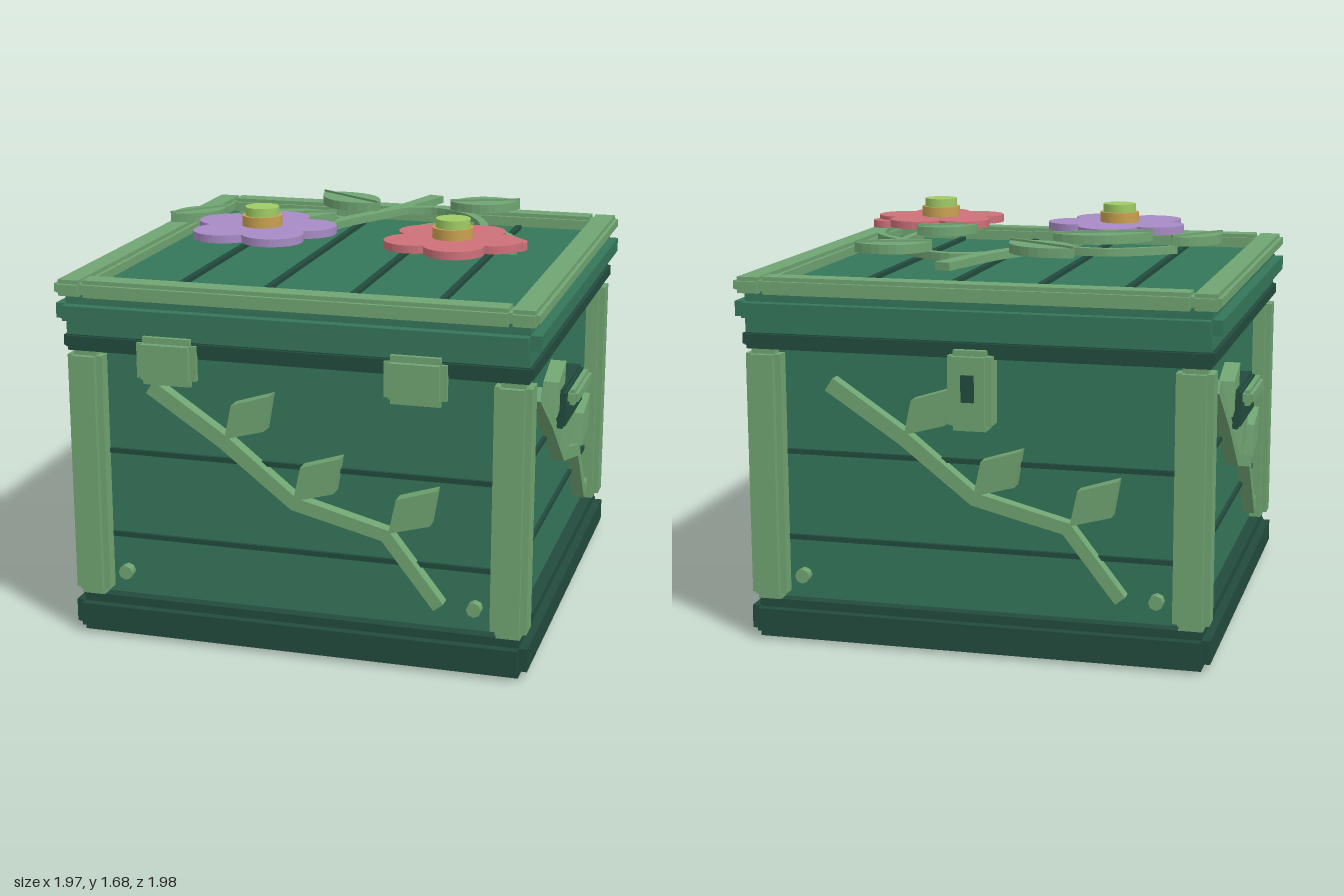
import * as THREE from 'three';
import { mergeGeometries } from 'three/addons/utils/BufferGeometryUtils.js';

const mat = (name, color) => Object.assign(new THREE.MeshStandardMaterial({ color }), { name });

export function createModel() {
  const green = mat('panel green', 0x35765a);
  const dark = mat('dark green', 0x224b3d);
  const leaf = mat('leaf green', 0x70a472);
  const purple = mat('purple petal', 0xa68bc4);
  const red = mat('red petal', 0xcc7079);
  const amber = mat('amber', 0xc9a050);
  const lime = mat('lime', 0x9fcb64);

  const root = new THREE.Group();
  root.name = 'flowerChest';
  const chest = new THREE.Group();
  chest.name = 'chest';
  chest.position.z = 0.013;
  root.add(chest);

  const add = (parent, name, geo, material, x = 0, y = 0, z = 0) => {
    const m = new THREE.Mesh(geo, material);
    m.name = name;
    m.position.set(x, y, z);
    parent.add(m);
    return m;
  };
  // block whose edges are cut back by a square step
  const stepped = (w, h, d, b) => mergeGeometries([
    new THREE.BoxGeometry(w, h - 2 * b, d - 2 * b),
    new THREE.BoxGeometry(w - 2 * b, h, d - 2 * b),
    new THREE.BoxGeometry(w - 2 * b, h - 2 * b, d)]);
  // square band: a tall core and a wider middle with notched corners
  const band = (core, y0, y1, outer, y2, y3) => {
    const box = (w, a, b, d) => new THREE.BoxGeometry(w, b - a, d).translate(0, (a + b) / 2, 0);
    return mergeGeometries([box(core * 2, y0, y1, core * 2),
      box(outer * 2, y2, y3, core * 2), box(core * 2, y2, y3, outer * 2)]);
  };
  const extrude = (shape, depth) =>
    new THREE.ExtrudeGeometry(shape, { depth, bevelEnabled: false, curveSegments: 10 });
  // strip of tapering width along a path
  const ribbon = (pts, w0, w1, depth, smooth) => {
    let p = pts.map(([x, y]) => new THREE.Vector2(x, y));
    if (smooth) p = new THREE.SplineCurve(p).getPoints(20);
    const a = [], b = [];
    p.forEach((q, i) => {
      const t = p[Math.min(i + 1, p.length - 1)].clone().sub(p[Math.max(i - 1, 0)]).normalize();
      const w = THREE.MathUtils.lerp(w0, w1, i / (p.length - 1)) / 2;
      a.push(new THREE.Vector2(q.x - t.y * w, q.y + t.x * w));
      b.unshift(new THREE.Vector2(q.x + t.y * w, q.y - t.x * w));
    });
    return extrude(new THREE.Shape([...a, ...b].reverse()), depth);
  };

  // body, base and lid bands
  add(chest, 'body', new THREE.BoxGeometry(1.71, 1.25, 1.71), green, 0, 0.625);
  add(chest, 'base', band(0.905, 0.004, 0.165, 0.94, 0.035, 0.13), dark);
  add(chest, 'lidSeal', band(0.925, 1.197, 1.275, 0.94, 1.215, 1.258), dark);
  add(chest, 'lid', band(0.926, 1.262, 1.425, 0.968, 1.325, 1.385), green);

  for (const sx of [-1, 1]) {
    for (const sz of [-1, 1])
      add(chest, 'cornerPost', stepped(0.145, 1.035, 0.145, 0.025), leaf, sx * 0.862, 0.6825, sz * 0.862);
    add(chest, 'lidSideTrim', stepped(0.118, 0.065, 1.926, 0.016), leaf, sx * 0.904, 1.452);
    add(chest, 'lidEndTrim', stepped(1.72, 0.07, 0.118, 0.016), leaf, 0, 1.452, sx * 0.904);
  }
  for (const x of [-0.535, -0.18, 0.175, 0.53])
    add(chest, 'lidGroove', new THREE.BoxGeometry(0.025, 0.03, 1.63), dark, x, 1.427);

  // four decorated walls
  const stem = [[-0.59, 1.065], [-0.29, 0.865], [0, 0.635], [0.37, 0.54], [0.585, 0.265]];
  const wallLeaves = [[-0.28, 0.88], [0, 0.65], [0.385, 0.555]];
  for (let k = 0; k < 4; k++) {
    const wall = new THREE.Group();
    wall.name = ['front', 'right', 'back', 'left'][k] + 'Wall';
    wall.rotation.y = k * Math.PI / 2;
    chest.add(wall);
    for (const y of [0.775, 0.42])
      add(wall, 'plankGroove', new THREE.BoxGeometry(1.57, 0.02, 0.03), dark, 0, y, 0.855);
    add(wall, 'stem', ribbon(stem, 0.06, 0.05, 0.06), leaf, 0, 0, 0.85);
    for (const [x, y] of wallLeaves) {
      const s = new THREE.Shape([[0, 0], [0.165, 0.045], [0.19, 0.19], [0.03, 0.14]].map(p => new THREE.Vector2(...p)));
      add(wall, 'wallLeaf', extrude(s, 0.07), leaf, x, y, 0.85);
    }
    for (const x of [-0.727, 0.722])
      add(wall, 'bolt', new THREE.CylinderGeometry(0.03, 0.03, 0.05, 8).rotateX(Math.PI / 2), leaf, x, 0.263, 0.87);

    if (k % 2) { // carrying handle
      add(wall, 'handlePlate', stepped(0.44, 0.165, 0.1, 0.012), dark, 0, 0.895, 0.893);
      add(wall, 'handleBar', stepped(0.365, 0.065, 0.05, 0.015), leaf, 0, 0.937, 0.962);
    } else if (k === 0) { // hinges
      for (const x of [-0.5, 0.497])
        add(wall, 'hinge', stepped(0.245, 0.19, 0.07, 0.025), leaf, x, 1.185, 0.945);
    } else { // latch
      add(wall, 'latch', stepped(0.175, 0.315, 0.13, 0.022), leaf, 0, 1.078, 0.925);
      add(wall, 'keyhole', new THREE.BoxGeometry(0.05, 0.105, 0.05), dark, 0, 1.092, 0.978);
    }
  }

  // floral spray above the lid, laid out in x and z
  const spray = new THREE.Group();
  spray.name = 'floralSpray';
  root.add(spray);
  const lay = (name, geo, material, y) => add(spray, name, geo.rotateX(-Math.PI / 2), material, 0, y, 0);
  const flip = pts => pts.map(([x, z]) => [x, -z]);
  const twigs = [
    [[[0.14, -0.83], [0.04, -0.5], [-0.11, -0.2], [-0.2, 0.06]], 0.068, 0.045],
    [[[-0.09, -0.185], [-0.22, -0.25], [-0.39, -0.272], [-0.53, -0.21], [-0.65, -0.12]], 0.036, 0.024],
    [[[0.03, -0.48], [0.1, -0.53], [0.22, -0.548], [0.39, -0.43], [0.5, -0.2], [0.51, 0.08]], 0.045, 0.032],
    [[[0.5, -0.17], [0.6, -0.09], [0.67, 0.03], [0.705, 0.2]], 0.04, 0.03]];
  for (const [pts, w0, w1] of twigs)
    lay('twig', ribbon(flip(pts), w0, w1, 0.032, true), leaf, 1.522);

  const leaves = [
    [-0.02, -0.385, -0.325, -0.59, 0.21], [0.28, -0.505, 0.57, -0.615, 0.2],
    [-0.635, -0.135, -0.81, 0.085, 0.15], [-0.135, -0.135, -0.525, 0.025, 0.2],
    [0.49, -0.03, 0.26, 0.125, 0.17]];
  for (const [x0, z0, x1, z1, w] of leaves) {
    const len = Math.hypot(x1 - x0, z1 - z0);
    const s = new THREE.Shape();
    s.moveTo(0, 0);
    s.bezierCurveTo(len * 0.25, -w * 0.68, len * 0.7, -w * 0.68, len, 0);
    s.bezierCurveTo(len * 0.7, w * 0.68, len * 0.25, w * 0.68, 0, 0);
    const blade = extrude(s, 0.038).rotateZ(Math.atan2(z0 - z1, x1 - x0)).translate(x0, -z0, 0);
    lay('lidLeaf', blade, leaf, 1.553);
    lay('leafRib', ribbon(flip([[x0, z0], [x1, z1]]), 0.012, 0.006, 0.009), leaf, 1.591);
  }

  // blossoms: five round petals and a two-tier centre
  const disc = (name, r, y0, y1, material, x, z) =>
    add(spray, name, new THREE.CylinderGeometry(r, r, y1 - y0, 24), material, x, (y0 + y1) / 2, z);
  const blossom = (x, z, dist, r, turn, material) => {
    const s = new THREE.Shape();
    const half = Math.PI / 5;
    // petal arc runs between the notches shared with its neighbours
    const notch = dist * Math.cos(half) + Math.sqrt(r * r - (dist * Math.sin(half)) ** 2);
    const open = Math.atan2(notch * Math.sin(half), notch * Math.cos(half) - dist);
    for (let i = 0; i < 5; i++) {
      const a = turn + i * 2 * half;
      s.absarc(dist * Math.cos(a), dist * Math.sin(a), r, a - open, a + open, false);
    }
    lay('petals', extrude(s, 0.032).translate(x, -z, 0), material, 1.57);
    disc('flowerRing', 0.083, 1.6, 1.645, amber, x, z);
    disc('flowerCentre', 0.07, 1.645, 1.68, lime, x, z);
  };
  blossom(-0.335, 0.268, 0.18, 0.127, 0.23, purple);
  blossom(0.48, 0.302, 0.165, 0.12, -0.07, red);
  disc('bud', 0.062, 1.553, 1.585, red, 0.708, 0.235);

  return root;
}
